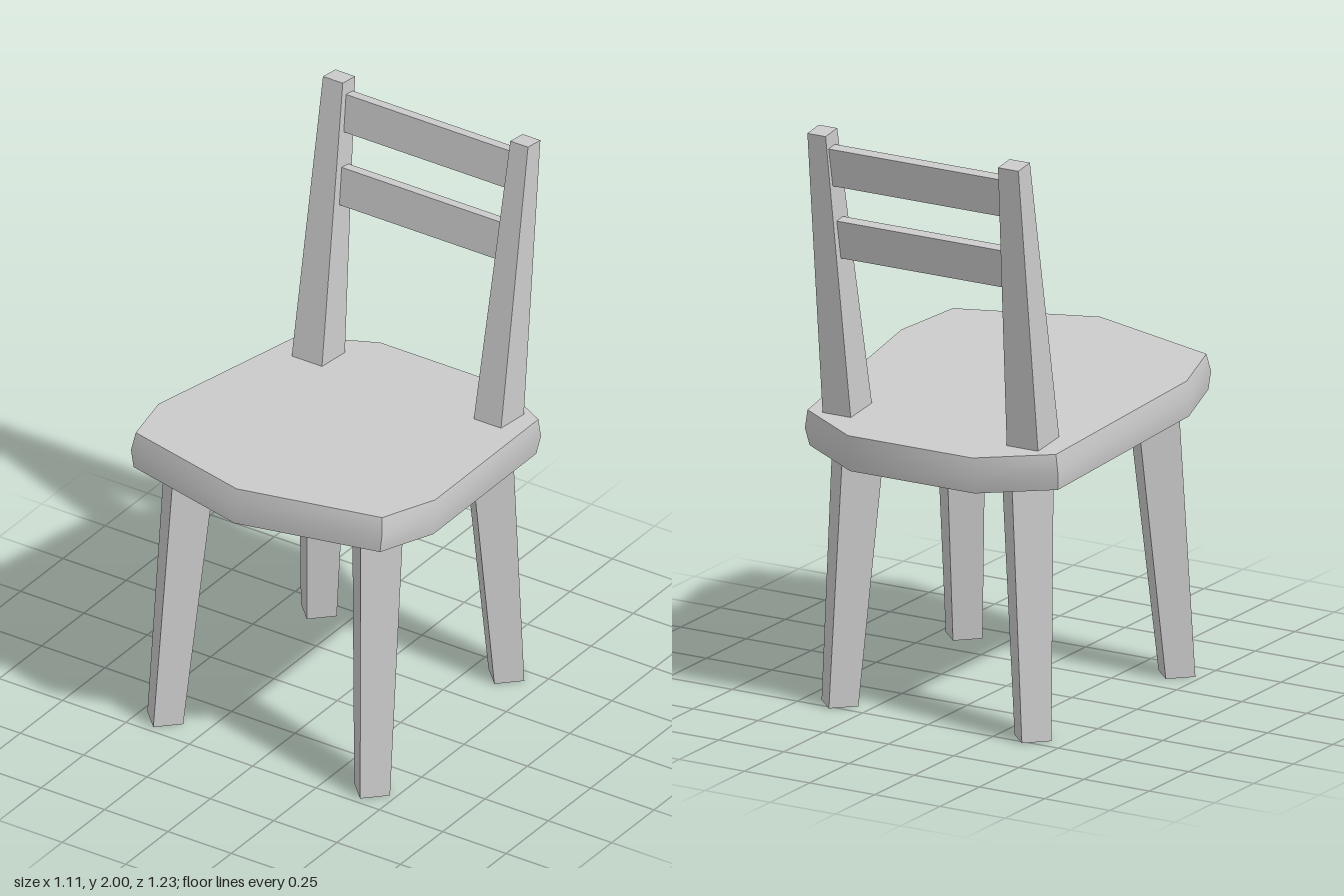
import * as THREE from 'three';
import { toCreasedNormals } from 'three/addons/utils/BufferGeometryUtils.js';

const material = new THREE.MeshStandardMaterial({ color: 0xcccccc });

function addMesh(parent, name, geometry) {
  const mesh = new THREE.Mesh(geometry, material);
  mesh.name = name;
  parent.add(mesh);
  return mesh;
}

// Box whose ends are { x, z, w, d, y } rectangles; turn spins the section about y,
// tilt makes the top face drop along z.
function taperedBeam(bottom, top, turn = 0, tilt = 0) {
  const geometry = new THREE.BoxGeometry(1, 1, 1).rotateY(turn);
  const p = geometry.attributes.position;
  for (let i = 0; i < p.count; i++) {
    const isTop = p.getY(i) > 0;
    const end = isTop ? top : bottom;
    const x = p.getX(i), z = p.getZ(i);
    p.setXYZ(i, end.x + x * end.w, end.y + (isTop ? (z - 0.5) * tilt : 0), end.z + z * end.d);
  }
  geometry.computeVertexNormals();
  return geometry;
}

// Slab made of stacked rings of one outline, slightly bulged at mid height
function seatGeometry() {
  const half = [[0, 0.615], [0.495, 0.48], [0.557, 0.25], [0.485, -0.48], [0.243, -0.62]];
  const mirrored = half.slice(1).reverse().map(([x, z]) => [-x, z]);
  const outline = [...half, ...mirrored];
  const h = 0.063;
  const rings = [[0, -h], [0.982, -h], [1, 0], [0.982, h], [0, h]]; // scale, height
  const corner = (ring, i) => {
    const [x, z] = outline[i % outline.length];
    return [x * ring[0], ring[1], z * ring[0]];
  };
  const positions = [];
  for (let r = 0; r < rings.length - 1; r++) {
    const lo = rings[r], hi = rings[r + 1];
    for (let i = 0; i < outline.length; i++) {
      const a = corner(lo, i), b = corner(lo, i + 1), c = corner(hi, i + 1), d = corner(hi, i);
      if (lo[0] > 0) positions.push(...a, ...b, ...(hi[0] > 0 ? c : d));
      if (hi[0] > 0) positions.push(...a, ...c, ...d);
    }
  }
  const geometry = new THREE.BufferGeometry();
  geometry.setAttribute('position', new THREE.Float32BufferAttribute(positions, 3));
  return toCreasedNormals(geometry, THREE.MathUtils.degToRad(40));
}

export function createModel() {
  const chair = new THREE.Group();
  chair.name = 'chair';

  // Seat, raised at the front
  const seat = addMesh(chair, 'seat', seatGeometry());
  seat.position.y = 0.985;
  seat.rotation.x = -0.103;

  // Splayed legs, set diagonally and narrowing to the floor
  for (const side of [1, -1]) {
    const label = side > 0 ? 'Left' : 'Right';
    const thin = { w: 0.1, d: 0.1 }, thick = { w: 0.143, d: 0.143 };
    addMesh(chair, 'front' + label + 'Leg', taperedBeam(
      { x: side * 0.408, y: 0, z: 0.405, ...thin },
      { x: side * 0.368, y: 1, z: 0.311, ...thick }, Math.PI / 4));
    addMesh(chair, 'back' + label + 'Leg', taperedBeam(
      { x: side * 0.37, y: 0, z: -0.445, ...thin },
      { x: side * 0.322, y: 0.94, z: -0.402, ...thick }, Math.PI / 4));
  }

  // Leaning back posts, each with its own slight irregularity
  const posts = [
    ['leftPost', 0.364, 0.11, 0.374, 0.07],
    ['rightPost', -0.347, 0.122, -0.361, 0.078],
  ];
  for (const [name, x0, w0, x1, w1] of posts) {
    addMesh(chair, name, taperedBeam(
      { x: x0, y: 0.95, z: -0.4, w: w0, d: 0.14 },
      { x: x1, y: 2, z: -0.551, w: w1, d: 0.073 }, 0, 0.01));
  }

  // Backrest slats between the posts
  for (const [name, y, z] of [['upperSlat', 1.88, -0.541], ['lowerSlat', 1.623, -0.502]]) {
    const slat = addMesh(chair, name, new THREE.BoxGeometry(0.7, 0.134, 0.04));
    slat.position.set(0.005, y, z);
    slat.rotation.x = -0.15;
  }

  return chair;
}
